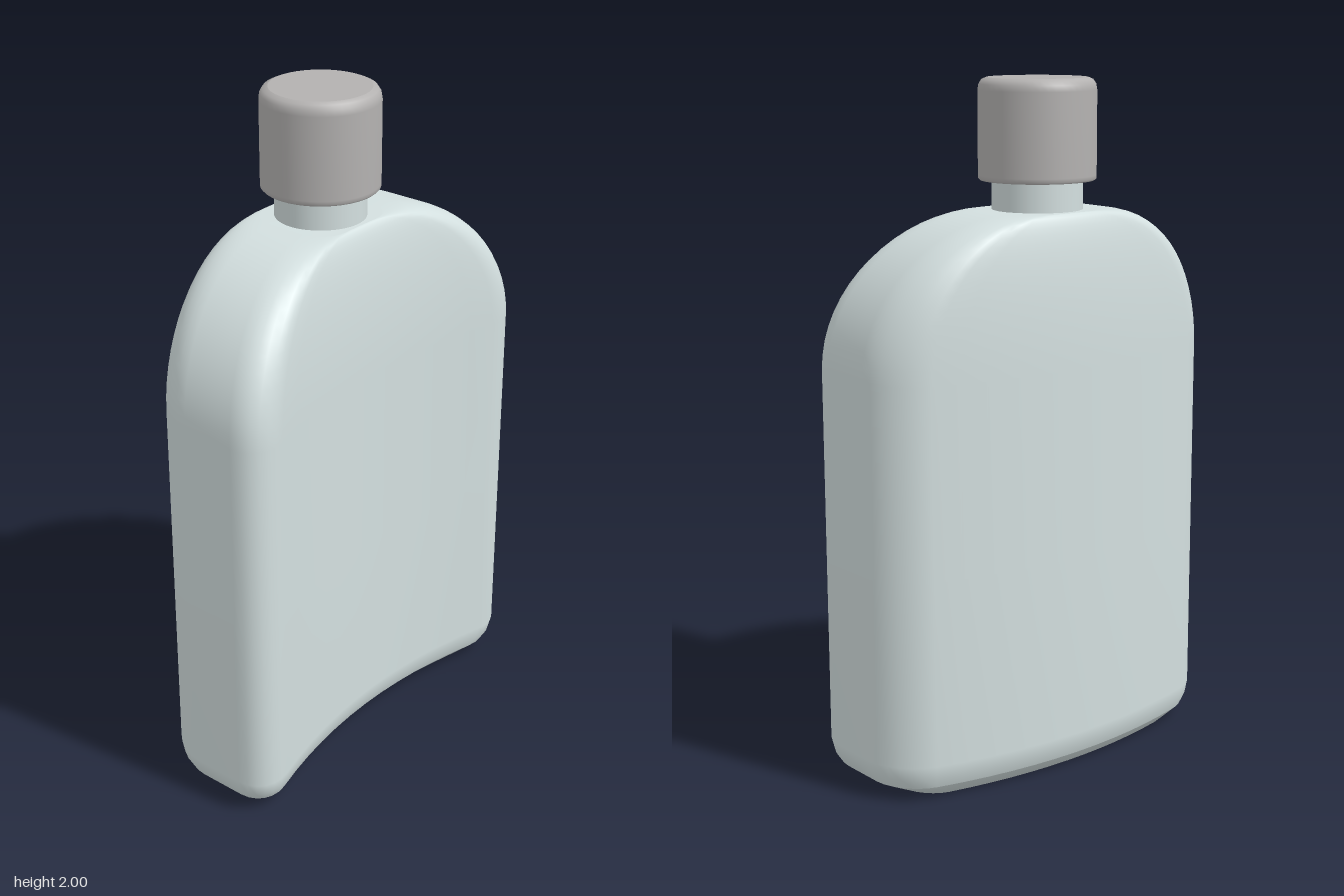
import * as THREE from 'three';

const AXIS_Z = -0.035; // depth of the body's centre line in the middle
const CORNER = 6, SPAN = 12;

const bend = (x) => AXIS_Z + 0.3 * x * x;

// Rounded-rectangle section of half-width w and half-depth d, bent across its width
function section(w, d, y) {
  const r = Math.min(0.12, 0.6 * Math.min(w, d));
  const flat = [];
  [[1, -1], [-1, -1], [-1, 1], [1, 1]].forEach(([sx, sz], c) => {
    for (let i = 0; i <= CORNER; i++) {
      const a = (c + i / CORNER) * Math.PI / 2;
      flat.push([sx * (w - r) + r * Math.cos(a), sz * (d - r) - r * Math.sin(a)]);
    }
    // broad back and front walls get extra points so they can curve
    if (c % 2 === 0) for (let i = 1; i < SPAN; i++) {
      flat.push([sx * (w - r) * (1 - 2 * i / SPAN), sz * d]);
    }
  });
  return flat.map(([x, z]) => [x, y, z + bend(x)]);
}

// Smooth skin through sections listed from bottom to top
function loft(rows) {
  const rings = rows.map((row) => section(...row));
  const n = rings[0].length, index = [];
  for (let i = 0; i < rings.length - 1; i++) {
    for (let j = 0; j < n; j++) {
      const a = i * n + j, b = i * n + (j + 1) % n;
      index.push(a, b, a + n, b, b + n, a + n);
    }
  }
  const g = new THREE.BufferGeometry();
  g.setAttribute('position', new THREE.Float32BufferAttribute(rings.flat(2), 3));
  g.setIndex(index);
  g.computeVertexNormals();
  return g;
}

export function createModel() {
  const model = new THREE.Group();
  const bodyMat = new THREE.MeshStandardMaterial({ color: 0xd3dfdf });
  const capMat = new THREE.MeshStandardMaterial({ color: 0xb3b1b0 });

  const add = (name, geometry, material, z = 0) => {
    const mesh = new THREE.Mesh(geometry, material);
    mesh.name = name;
    mesh.position.z = z;
    model.add(mesh);
  };

  // Body wall: straight sides, then shoulders that arch in to the neck
  const rows = [[0.575, 0.18, 0.04], [0.592, 0.193, 0.07], [0.6, 0.2, 0.11], [0.6, 0.2, 0.65]];
  const STEPS = 16;
  for (let i = 0; i <= STEPS; i++) {
    const a = i / STEPS * Math.PI / 2;
    rows.push([0.15 + 0.45 * Math.cos(a), 0.145 + 0.055 * Math.cos(a), 1.2 + 0.432 * Math.sin(a)]);
  }
  add('body', loft(rows), bodyMat);

  // Flat top under the neck
  add('shoulderTop', loft([[0.15, 0.145, 1.632], [0, 0, 1.635]]), bodyMat);

  // Base with a chamfered rim
  add('base', loft([[0, 0, 0], [0.25, 0.07, 0], [0.49, 0.14, 0], [0.575, 0.18, 0.04]]), bodyMat);

  // Neck
  const neck = new THREE.CylinderGeometry(0.13, 0.13, 0.12, 48, 1, true);
  neck.translate(0, 1.67, 0);
  add('neck', neck, bodyMat, AXIS_Z + 0.003);

  // Screw cap with softened rims; doubled points keep the flat faces crisp
  const profile = [[0, 1.715], [0.163, 1.715], [0.163, 1.715], [0.168, 1.72], [0.168, 1.73], [0.168, 1.965],
    [0.165, 1.982], [0.157, 1.994], [0.143, 2], [0.143, 2], [0, 2]];
  add('cap', new THREE.LatheGeometry(profile.map(([x, y]) => new THREE.Vector2(x, y)), 48), capMat, AXIS_Z + 0.003);

  return model;
}
